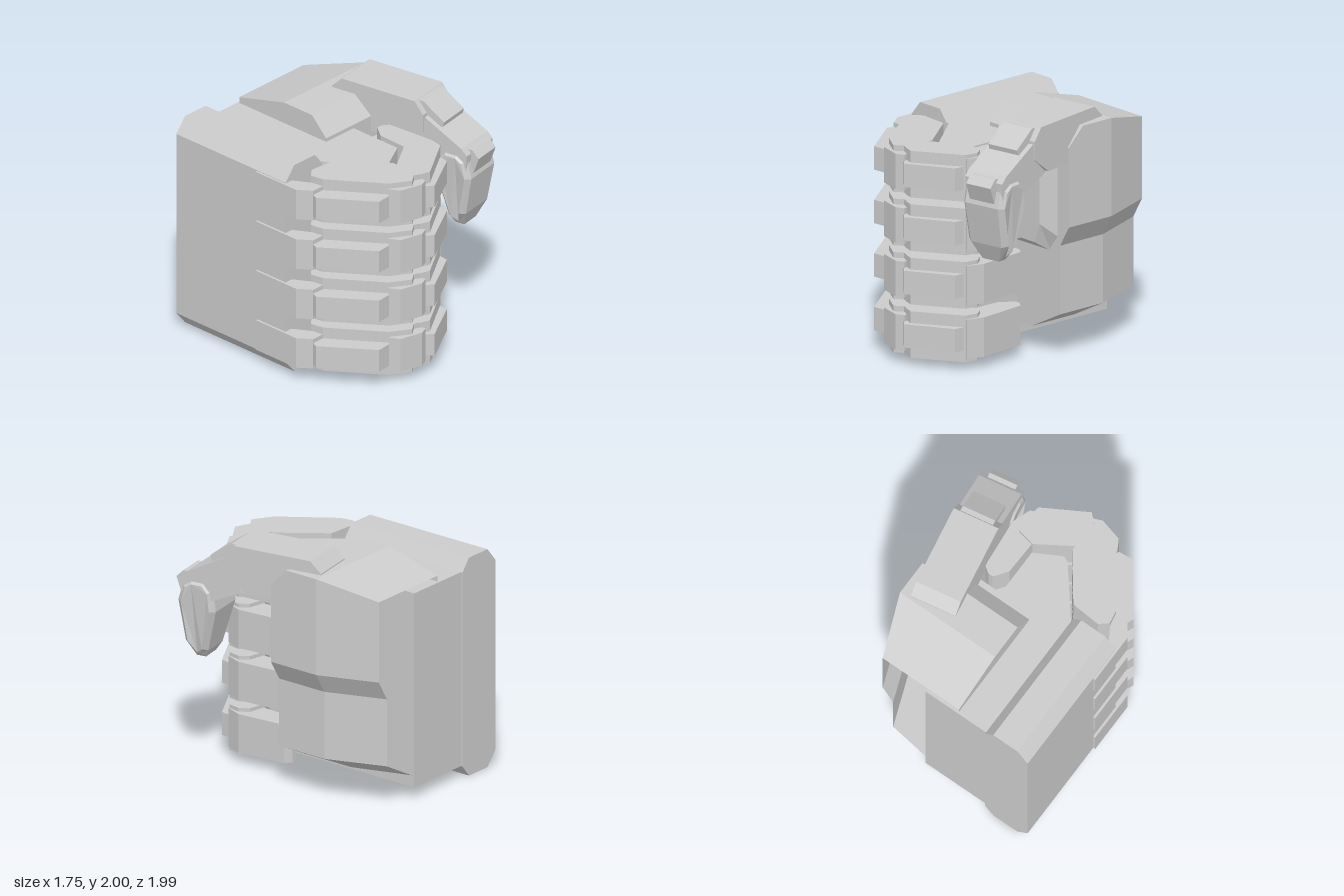
import * as THREE from 'three';

const mat = new THREE.MeshStandardMaterial({ color: 0xcccccc, flatShading: true, side: THREE.DoubleSide });

function mesh(name, geometry) {
  const m = new THREE.Mesh(geometry, mat);
  m.name = name;
  return m;
}

const shapeOf = (pts) => new THREE.Shape(pts.map(([x, y]) => new THREE.Vector2(x, y)));

// Plan outline [x, z] raised from y0 to y1
function slab(name, pts, y0, y1) {
  const g = new THREE.ExtrudeGeometry(shapeOf(pts.map(([x, z]) => [x, -z])), { depth: y1 - y0, bevelEnabled: false });
  g.rotateX(-Math.PI / 2).translate(0, y0, 0);
  return mesh(name, g);
}

// Side profile [z, y] given a width in x, with an optional chamfer
function profile(name, pts, width, bevel = 0) {
  const g = new THREE.ExtrudeGeometry(shapeOf(pts), {
    depth: width - 2 * bevel, bevelEnabled: bevel > 0, bevelSegments: 1,
    bevelThickness: bevel, bevelSize: bevel, bevelOffset: -bevel,
  });
  g.translate(0, 0, bevel - width / 2).rotateY(-Math.PI / 2);
  return mesh(name, g);
}

// Quads given as four corners each, counter-clockwise from outside
function quads(name, list) {
  const pos = [];
  for (const [a, b, c, d] of list) pos.push(...a, ...b, ...c, ...a, ...c, ...d);
  const g = new THREE.BufferGeometry();
  g.setAttribute('position', new THREE.Float32BufferAttribute(pos, 3));
  g.computeVertexNormals();
  return mesh(name, g);
}

// Open shell on the thumb side of the palm
function thumbMount() {
  // y, outer x at the front, outer x at the back
  const levels = [[0.2, 0.31, 0.15], [0.37, 0.64, 0.46], [0.93, 0.64, 0.46], [1.1, 0.74, 0.56], [1.75, 0.74, 0.56]];
  const inner = -0.17, front = -0.04, mid = -0.49, back = -0.97;
  const rows = levels.map(([y, xo, xb]) => [
    [inner, y, back], [inner, y, mid], [inner, y, front],
    [xo, y, front], [xo, y, mid], [xb, y, back],
  ]);
  const top = [
    [inner, 1.77, back], [inner, 1.9, mid], [inner, 1.9, -0.19],
    [0.74, 1.9, -0.19], [0.74, 1.9, mid], [0.56, 1.77, back],
  ];
  rows.push(top);
  const list = [];
  for (let i = 0; i < rows.length - 1; i++)
    for (let j = 0; j < 5; j++)
      list.push([rows[i][j], rows[i][j + 1], rows[i + 1][j + 1], rows[i + 1][j]]);
  list.push([top[2], top[3], top[4], top[1]], [top[1], top[4], top[5], top[0]]);
  return quads('thumbMount', list);
}

// Block joining the thumb mount to the palm, chamfered towards the front
function thumbBase() {
  const backLoop = [[0.13, 0.86], [0.52, 0.86], [0.62, 0.99], [0.62, 1.56], [0.13, 1.56]].map(([x, y]) => [x, y, -0.05]);
  const frontLoop = [[0.13, 0.94], [0.46, 0.94], [0.52, 1.1], [0.52, 1.56], [0.13, 1.56]].map(([x, y]) => [x, y, 0.065]);
  const list = backLoop.map((p, i) => {
    const j = (i + 1) % 5;
    return [p, backLoop[j], frontLoop[j], frontLoop[i]];
  });
  const f = frontLoop;
  list.push([f[0], f[1], f[2], f[3]], [f[0], f[3], f[4], f[4]]);
  return quads('thumbBase', list);
}

// One curled finger, centred on height y; each part is [name, height, plan outline]
const fingerParts = [
  ['knuckleTab', 0.26, [[-0.87, -0.13], [-0.87, 0.3], [-0.79, 0.41], [-0.64, 0.41], [-0.78, 0.17], [-0.84, -0.13]]],
  ['proximalCore', 0.38, [[-0.7, 0.3], [-0.63, 0.24], [-0.38, 0.26], [-0.11, 0.62], [-0.11, 0.66], [-0.08, 0.9],
    [-0.15, 0.88], [-0.22, 0.93], [-0.38, 0.83], [-0.68, 0.41]]],
  ['proximalCover', 0.19, [[-0.79, 0.41], [-0.81, 0.46], [-0.52, 0.86], [-0.4, 0.85], [-0.34, 0.8], [-0.64, 0.38]]],
  ['knuckleCover', 0.29, [[-0.39, 0.83], [-0.34, 0.92], [-0.15, 0.97], [-0.08, 0.94], [-0.1, 0.86], [-0.3, 0.8]]],
  ['middleCore', 0.38, [[-0.11, 0.66], [0.17, 0.48], [0.32, 0.51], [0.37, 0.58], [0.35, 0.69], [-0.02, 0.93], [-0.11, 0.9]]],
  ['middleCover', 0.19, [[-0.1, 0.93], [-0.03, 0.99], [0.33, 0.78], [0.34, 0.68], [-0.06, 0.88]]],
  ['fingertip', 0.32, [[0.19, 0.2], [0.27, 0.09], [0.31, 0.09], [0.37, 0.13], [0.41, 0.55], [0.36, 0.69], [0.31, 0.66], [0.32, 0.52], [0.18, 0.49]]],
];

function finger(y) {
  const g = new THREE.Group();
  g.name = 'finger';
  for (const [name, h, pts] of fingerParts) g.add(slab(name, pts, y - h / 2, y + h / 2));
  return g;
}

// Thumb, built along z and turned slightly outwards
function thumb() {
  const g = new THREE.Group();
  g.name = 'thumb';
  g.add(profile('thumbProximal', [[-0.44, 1.62], [0.24, 1.62], [0.41, 1.75], [0.41, 1.9], [0.33, 2], [-0.345, 2], [-0.44, 1.91]], 0.385));
  g.add(profile('thumbUpperKnuckle', [[0.3, 1.9], [0.46, 1.78], [0.56, 1.82], [0.57, 1.86], [0.38, 1.99], [0.33, 1.99]], 0.28));
  g.add(profile('thumbMiddle', [[0.26, 1.62], [0.52, 1.5], [0.8, 1.5], [0.81, 1.65], [0.76, 1.7], [0.42, 1.88], [0.39, 1.74]], 0.365));
  g.add(profile('thumbLowerKnuckle', [[0.74, 1.5], [0.83, 1.48], [0.88, 1.62], [0.82, 1.68], [0.74, 1.68]], 0.24));

  // Tip narrows sideways towards its lower end
  const tip = profile('thumbTip', [[0.84, 1.45], [0.8, 1.6], [0.72, 1.65], [0.6, 1.65], [0.53, 1.57], [0.51, 1.4],
    [0.6, 1.05], [0.64, 0.98], [0.72, 0.98], [0.78, 1.12]], 0.4, 0.04);
  const p = tip.geometry.attributes.position;
  for (let i = 0; i < p.count; i++) {
    const t = THREE.MathUtils.clamp((1.14 - p.getY(i)) / 0.16, 0, 1);
    p.setX(i, p.getX(i) * (1 - 0.5 * t));
  }
  tip.geometry.computeVertexNormals();
  g.add(tip);

  g.position.x = 0.54;
  g.rotation.y = 0.175;
  return g;
}

// Chamfered plate over the back of the hand
function backPlate() {
  const outline = [[-0.85, 0.12], [-0.75, 0], [-0.52, 0], [-0.44, 0.1], [-0.44, 1.72], [-0.52, 1.82], [-0.75, 1.82], [-0.85, 1.7]];
  const g = new THREE.ExtrudeGeometry(shapeOf(outline), { depth: 1.17, bevelEnabled: false });
  g.translate(0, 0, -1);
  return mesh('backPlate', g);
}

export function createModel() {
  const hand = new THREE.Group();
  hand.name = 'hand';
  hand.add(backPlate());
  hand.add(slab('palm', [[-0.46, -0.985], [0.14, -0.985], [0.14, 0.43], [-0.08, 0.55], [-0.13, 0.53], [-0.46, 0.12]], 0.1, 1.72));
  hand.add(thumbMount(), thumbBase(), thumb());
  for (let i = 0; i < 4; i++) hand.add(finger(0.257 + i * 0.436));
  return hand;
}
